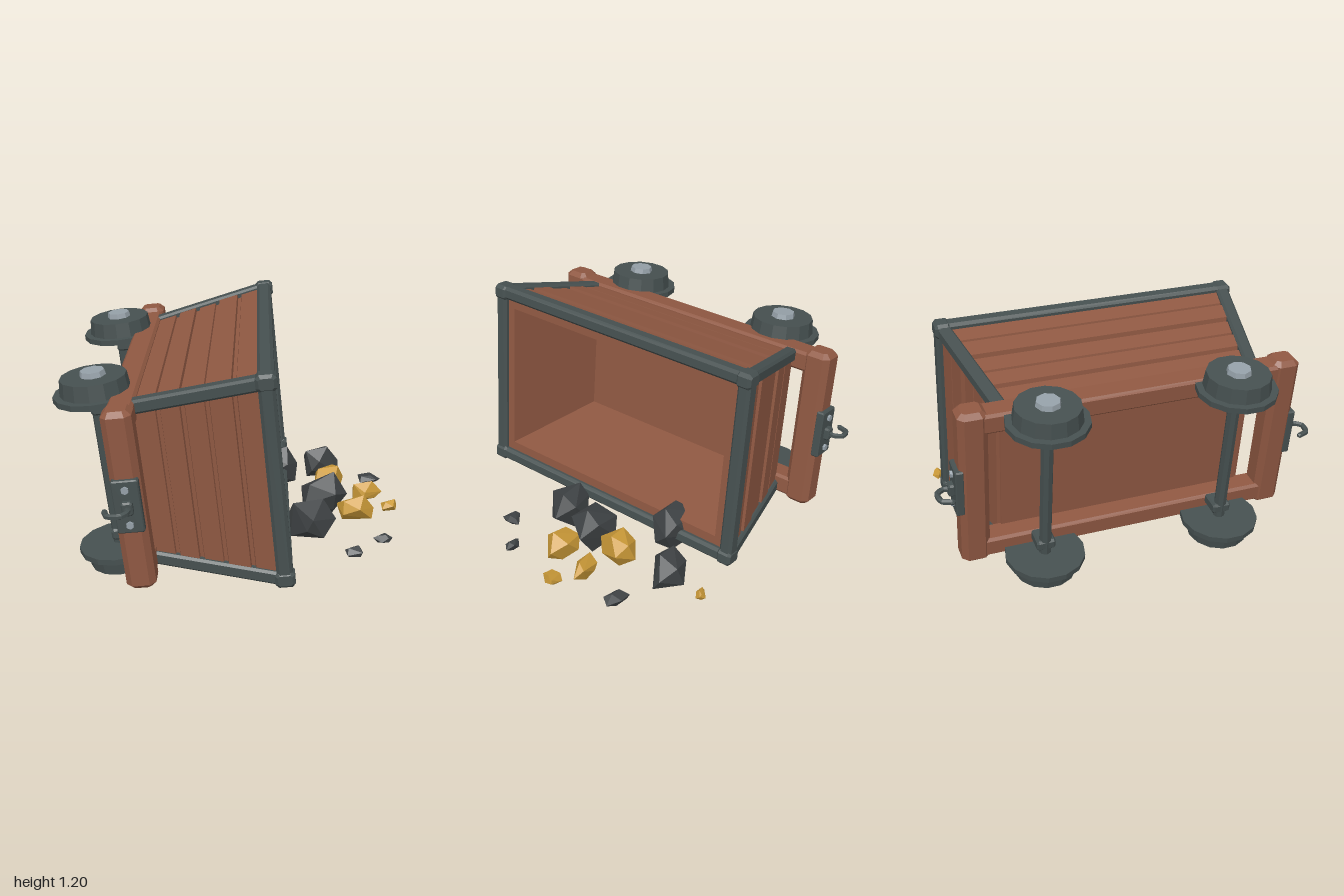
import * as THREE from 'three';
import { ConvexGeometry } from 'three/addons/geometries/ConvexGeometry.js';

const mat = (name, color) => Object.assign(new THREE.MeshStandardMaterial({ color }), { name });
const lerp = THREE.MathUtils.lerp;

export function createModel() {
  const wood = mat('wood', 0x8f5842);
  const steel = mat('darkSteel', 0x465050);
  const bolt = mat('paleSteel', 0x95a0a8);
  const coal = mat('coal', 0x404446);
  const gold = mat('gold', 0xcb9a38);

  const model = new THREE.Group();
  model.name = 'tippedMineCart';

  // Cart frame: x = cart up (opening), y = cart width, z = cart length
  const cart = new THREE.Group();
  cart.name = 'cart';
  cart.rotation.set(0, -0.209, 0.105, 'YXZ');
  cart.position.set(0.21, 0.65, 0.135);
  model.add(cart);

  const add = (parent, name, geo, material, x = 0, y = 0, z = 0) => {
    const mesh = new THREE.Mesh(geo, material);
    mesh.name = name;
    mesh.position.set(x, y, z);
    parent.add(mesh);
    return mesh;
  };

  const flat = (geo) => {
    const g = geo.index ? geo.toNonIndexed() : geo;
    g.computeVertexNormals();
    return g;
  };

  // Faceted solid through four-cornered loops
  const loft = (loops, capStart) => {
    const pos = [];
    const quad = (a, b, c, d) => [a, b, c, a, c, d].forEach((p) => pos.push(...p));
    for (let k = 0; k < loops.length - 1; k++) {
      const a = loops[k], b = loops[k + 1];
      for (let i = 0; i < 4; i++) quad(a[i], a[(i + 1) % 4], b[(i + 1) % 4], b[i]);
    }
    quad(...loops[loops.length - 1]);
    if (capStart) quad(...[...loops[0]].reverse());
    const g = new THREE.BufferGeometry();
    g.setAttribute('position', new THREE.Float32BufferAttribute(pos, 3));
    g.computeVertexNormals();
    return g;
  };

  // Chamfered bar along z
  const bar = (w, h, len, c) => {
    const a = w / 2 - c, b = h / 2 - c, k = c * 0.6;
    const s = new THREE.Shape([
      [-a + k, -b], [a - k, -b], [a, -b + k], [a, b - k],
      [a - k, b], [-a + k, b], [-a, b - k], [-a, -b + k],
    ].map((p) => new THREE.Vector2(...p)));
    const g = new THREE.ExtrudeGeometry(s, {
      depth: len - 2 * c, bevelEnabled: true, bevelThickness: c, bevelSize: c, bevelSegments: 1,
    });
    g.translate(0, 0, -len / 2 + c);
    return g;
  };
  const barY = (w, h, len, c) => bar(w, h, len, c).rotateX(Math.PI / 2);

  // Hollow tapered tub
  const ring = (x, y, z) => [[x, -y, -z], [x, y, -z], [x, y, z], [x, -y, z]];
  add(cart, 'tub', loft([
    ring(-0.66, 0.4, 0.68), ring(0, 0.51, 0.81), ring(0, 0.425, 0.73), ring(-0.59, 0.325, 0.615),
  ], true), wood);

  // Wall planks, laid parallel to the rim
  const edges = [0, 0.2, 0.38, 0.56, 0.76, 0.97];
  const lift = [0.016, 0.022, 0.014, 0.024, 0.016];
  const onSide = (t, s, out) => [lerp(-0.66, 0, t), lerp(0.4, 0.51, t) + out, s * lerp(0.68, 0.81, t)];
  const onEnd = (t, s, out) => [lerp(-0.66, 0, t), s * lerp(0.4, 0.51, t), lerp(0.68, 0.81, t) + out];
  for (const turn of [0, Math.PI]) {
    for (let i = 0; i < 5; i++) {
      const a = edges[i] + 0.012, b = edges[i + 1] - 0.012;
      const sideLoop = (o, n) => [[a + n, -1], [a + n, 1], [b - n, 1], [b - n, -1]]
        .map(([t, s]) => onSide(t, s, o));
      const endLoop = (o, n) => [[a + n, -1], [b - n, -1], [b - n, 1], [a + n, 1]]
        .map(([t, s]) => onEnd(t, s, o));
      add(cart, 'sidePlank', loft([sideLoop(-0.005, 0), sideLoop(lift[i], 0.008)]), wood).rotation.x = turn;
      add(cart, 'endPlank', loft([endLoop(-0.005, 0), endLoop(lift[i], 0.008)]), wood).rotation.x = turn;
    }
  }

  // Steel rim and slanted corner bars
  for (const s of [-1, 1]) {
    add(cart, 'rimLongBar', bar(0.08, 0.073, 1.7, 0.013), steel, -0.01, s * 0.512, 0);
    add(cart, 'rimShortBar', barY(0.08, 0.073, 1.1, 0.013), steel, -0.01, 0, s * 0.812);
    for (const e of [-1, 1]) {
      const from = new THREE.Vector3(-0.66, s * 0.4, e * 0.68);
      const to = new THREE.Vector3(0, s * 0.512, e * 0.812);
      const dir = to.clone().sub(from);
      const mid = from.clone().add(to).multiplyScalar(0.5);
      const geo = bar(0.07, 0.07, dir.length(), 0.01).rotateY(Math.PI / 2);
      add(cart, 'cornerBar', geo, steel, ...mid.toArray()).quaternion
        .setFromUnitVectors(new THREE.Vector3(1, 0, 0), dir.normalize());
      add(cart, 'rimCornerCap', bar(0.1, 0.085, 0.085, 0.015), steel, -0.01, s * 0.51, e * 0.81);
    }
  }

  // Timber underframe
  for (const s of [-1, 1]) {
    add(cart, 'longBeam', bar(0.13, 0.11, 1.62, 0.012), wood, -0.7, s * 0.385, 0);
    add(cart, 'endBeam', barY(0.145, 0.15, 0.92, 0.025), wood, -0.7, 0, s * 0.84);
  }

  // Couplers: plate, bolts, stem and hook, the same at both ends
  const hookPath = new THREE.CatmullRomCurve3([
    [0, 0, 0], [0.005, 0, 0.04], [-0.025, 0, 0.075], [-0.085, 0, 0.065], [-0.105, 0, 0.015],
  ].map((p) => new THREE.Vector3(...p)), false, 'catmullrom', 0.2);
  for (const s of [-1, 1]) {
    const coupler = new THREE.Group();
    coupler.name = 'coupler';
    coupler.position.set(-0.7, 0, s * 0.915);
    cart.add(coupler);
    add(coupler, 'couplerPlate', bar(0.13, 0.27, 0.045, 0.006), steel);
    const zed = (z) => s * z;
    for (const b of [-1, 1]) {
      const g = flat(new THREE.CylinderGeometry(0.019, 0.019, 0.02, 6)).rotateX(Math.PI / 2);
      add(coupler, 'plateBolt', g, bolt, 0, b * 0.09, zed(0.025));
    }
    add(coupler, 'hookSocket', bar(0.055, 0.07, 0.04, 0.008), steel, 0, 0, zed(0.03));
    const hook = add(coupler, 'hook', flat(new THREE.TubeGeometry(hookPath, 12, 0.015, 6)), steel, 0, 0, zed(0.035));
    const tip = add(coupler, 'hookTip', flat(new THREE.IcosahedronGeometry(0.016, 0)), steel, -0.105, 0, zed(0.05));
    tip.scale.z = 1.1;
    // Half turn about y, mirrored back in x, keeps both hooks curling downward
    if (s < 0) {
      hook.rotation.x = Math.PI;
    }
  }

  // Axles with flanged wheels
  for (const z of [-0.5, 0.5]) {
    const axle = new THREE.Group();
    axle.name = 'wheelset';
    axle.position.set(-0.85, 0, z);
    cart.add(axle);
    add(axle, 'axle', flat(new THREE.CylinderGeometry(0.033, 0.033, 0.86, 8)), steel);
    for (const s of [0, 1]) {
      const wheel = new THREE.Group();
      wheel.name = 'wheel';
      wheel.rotation.x = s * Math.PI;
      axle.add(wheel);
      add(wheel, 'flange', flat(new THREE.CylinderGeometry(0.21, 0.21, 0.03, 14)), steel, 0, 0.415, 0);
      add(wheel, 'tread', flat(new THREE.CylinderGeometry(0.165, 0.175, 0.08, 14)), steel, 0, 0.47, 0);
      add(wheel, 'hub', flat(new THREE.CylinderGeometry(0.06, 0.066, 0.03, 8)), bolt, 0, 0.522, 0);
      add(wheel, 'axleBox', bar(0.12, 0.06, 0.1, 0.01), steel, 0.03, 0.345, 0);
    }
  }

  // Spilled ore: seeded convex lumps fitted to a size
  let seed = 7;
  const rand = () => (seed = (seed * 16807) % 2147483647) / 2147483647;
  const lump = (size) => {
    const pts = [];
    for (let i = 0; i < 11; i++) {
      // Spiral points with jitter give even, angular facets
      const y = 1 - (2 * i + 1) / 11, r = Math.sqrt(1 - y * y), a = i * 2.4 + rand() * 0.9;
      const k = 0.8 + rand() * 0.35;
      pts.push(new THREE.Vector3(r * Math.cos(a) * k, y * k, r * Math.sin(a) * k));
    }
    const g = new ConvexGeometry(pts);
    g.center();
    const d = g.boundingBox.getSize(new THREE.Vector3());
    g.scale(size[0] / d.x, size[1] / d.y, size[2] / d.z);
    return flat(g);
  };
  const spill = (name, material, list) => list.forEach(([x, y, z, ...size]) =>
    add(model, name, lump(size), material, x, y, z));

  spill('coalLump', coal, [
    [0.515, 0.14, 0.1, 0.26, 0.28, 0.23],
    [0.39, 0.115, 0.33, 0.25, 0.23, 0.23],
    [0.33, 0.16, -0.3, 0.25, 0.26, 0.22],
    [0.635, 0.12, -0.41, 0.21, 0.2, 0.19],
    [0.89, 0.05, -0.23, 0.13, 0.06, 0.11],
    [0.74, 0.04, 0.485, 0.11, 0.05, 0.07],
    [0.54, 0.05, 0.6, 0.09, 0.06, 0.1],
  ]);
  spill('goldNugget', gold, [
    [0.59, 0.13, -0.1, 0.2, 0.19, 0.21],
    [0.67, 0.1, 0.21, 0.2, 0.17, 0.17],
    [0.8, 0.09, 0.01, 0.17, 0.13, 0.1],
    [0.89, 0.06, 0.14, 0.1, 0.07, 0.1],
    [0.67, 0.06, -0.61, 0.06, 0.06, 0.06],
  ]);

  return model;
}
